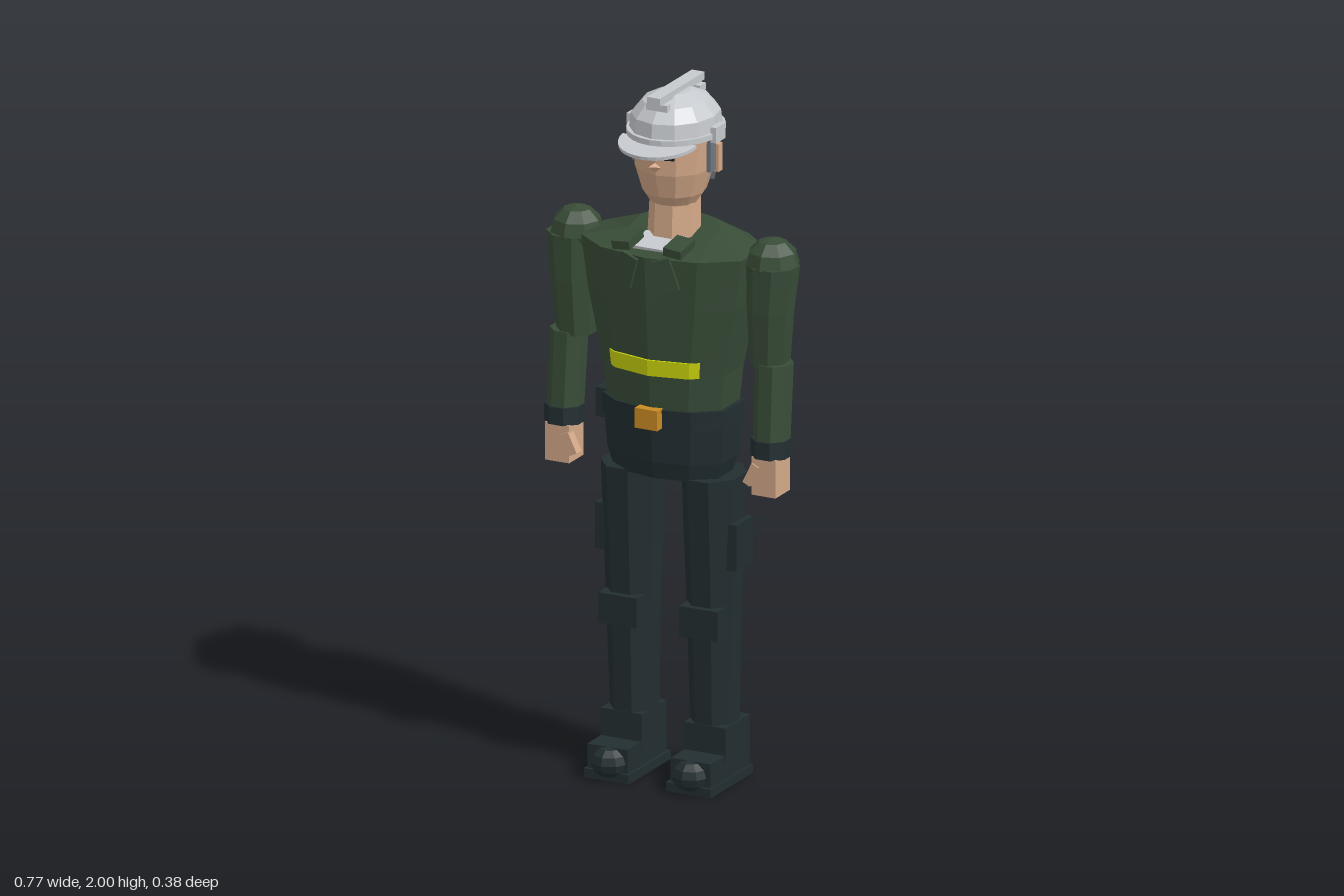
import * as THREE from 'three';

const mat = (name, color, flat = true) => {
  const m = new THREE.MeshStandardMaterial({ color, flatShading: flat });
  m.name = name;
  return m;
};

export function createModel() {
  const green = mat('jacket green', 0x384c37), dark = mat('trouser dark', 0x222e31);
  const skin = mat('skin', 0xd3a888), shell = mat('helmet grey', 0xc6c9cd);
  const hairGrey = mat('hair grey', 0x70777f), yellow = mat('stripe yellow', 0xcbd60c);
  const gold = mat('buckle gold', 0xc98a22), black = mat('black', 0x17191b);

  const model = new THREE.Group();
  model.name = 'uniformedFigure';
  const add = (name, geo, material, parent = model) => {
    const mesh = new THREE.Mesh(geo, material);
    mesh.name = name;
    parent.add(mesh);
    return mesh;
  };
  const box = (name, [w, h, d], [x, y, z], material, parent, rot = [0, 0, 0]) => {
    const mesh = add(name, new THREE.BoxGeometry(w, h, d), material, parent);
    mesh.position.set(x, y, z);
    mesh.rotation.set(...rot);
    return mesh;
  };

  // Capped solid through rings listed bottom to top, each running front -> +x -> back
  const loft = (rings) => {
    const pos = [], n = rings[0].length;
    const tri = (...pts) => pts.forEach((p) => pos.push(...p));
    for (let r = 0; r < rings.length - 1; r++) {
      for (let i = 0; i < n; i++) {
        const j = (i + 1) % n, lo = rings[r], hi = rings[r + 1];
        tri(lo[i], lo[j], hi[j]);
        tri(lo[i], hi[j], hi[i]);
      }
    }
    const bottom = rings[0], top = rings[rings.length - 1];
    const mid = (ring) => [0, 1, 2].map((k) => ring.reduce((s, p) => s + p[k], 0) / n);
    const mb = mid(bottom), mt = mid(top);
    for (let i = 0; i < n; i++) {
      const j = (i + 1) % n;
      tri(mb, bottom[j], bottom[i]);
      tri(mt, top[i], top[j]);
    }
    const geo = new THREE.BufferGeometry();
    geo.setAttribute('position', new THREE.Float32BufferAttribute(pos, 3));
    geo.computeVertexNormals();
    return geo;
  };
  const oval = (n, y, rx, rz, cx = 0, cz = 0, turn = 0) => Array.from({ length: n }, (_, i) => {
    const a = ((i + turn) / n) * Math.PI * 2;
    return [cx + rx * Math.sin(a), y, cz + rz * Math.cos(a)];
  });

  // Ten-sided body outline, scaled per height
  const half = [[0.15, 0.137], [0.25, 0.065], [0.25, -0.075], [0.16, -0.155]];
  const outline = [[0, 0.165], ...half, [0, -0.19], ...half.map(([x, z]) => [-x, z]).reverse()];
  const body = (y, sx, sz) => outline.map(([x, z]) => [x * sx, y, z * sz]);

  // Jacket, with a neckline that dips at the front
  const neckline = outline.map(([x, z]) => [x * 0.5, 1.585 - z * 0.13, -0.015 + z * 0.5]);
  add('jacket', loft([body(1.08, 0.71, 0.78), body(1.2, 0.76, 0.84), body(1.4, 0.92, 0.94),
    body(1.55, 1, 1), neckline]), green);

  // Reflective stripes lying on the front and back of the jacket
  const arc = (y, grow, pts) => pts.map(([x, z]) => [x * grow, y, z * grow]);
  const frontArc = [[-0.137, 0.1], [-0.115, 0.12], [0, 0.144], [0.115, 0.12], [0.137, 0.1]];
  const backArc = [[0.14, -0.124], [0.122, -0.136], [0, -0.165], [-0.122, -0.136], [-0.14, -0.124]];
  add('frontStripe', loft([arc(1.2, 1.005, frontArc), arc(1.247, 1.035, frontArc)]), yellow);
  add('backStripe', loft([arc(1.2, 1.005, backArc), arc(1.247, 1.03, backArc)]), yellow);

  // Hips, belt, buckle and hip pouch
  add('hips', loft([body(0.89, 0.65, 0.64), body(0.94, 0.71, 0.71), body(1.06, 0.75, 0.78)]), dark);
  add('belt', loft([body(1.045, 0.775, 0.8), body(1.1, 0.775, 0.82)]), dark);
  box('buckle', [0.07, 0.058, 0.035], [0, 1.076, 0.138], gold);
  box('beltPouch', [0.045, 0.085, 0.09], [-0.188, 1.065, 0.01], dark);

  // Shirt insert and collar flaps
  box('shirtInsert', [0.13, 0.012, 0.09], [0, 1.567, 0.075], shell, model, [0.2, 0, 0]);
  for (const s of [-1, 1]) {
    box('collarTop', [0.055, 0.025, 0.085], [s * 0.08, 1.577, 0.112], green, model, [0.15, 0, s * -0.1]);
    box('collarFlap', [0.055, 0.095, 0.015], [s * 0.06, 1.505, 0.153], green, model, [0.05, s * 0.19, s * 0.3]);
  }

  // Arms and legs, built for the left side and mirrored by sign
  for (const s of [-1, 1]) {
    const side = s > 0 ? 'left' : 'right';
    const arm = new THREE.Group();
    arm.name = side + 'Arm';
    const ball = add('shoulder', new THREE.SphereGeometry(0.078, 8, 6), green, arm);
    ball.position.set(s * 0.305, 1.527, -0.015);
    add('upperArm', loft([oval(8, 1.24, 0.056, 0.06, s * 0.301, -0.008, 0.5),
      oval(8, 1.4, 0.066, 0.065, s * 0.307, 0, 0.5), oval(8, 1.53, 0.076, 0.07, s * 0.312, -0.005, 0.5)]), green, arm);
    add('forearm', loft([oval(8, 1.02, 0.052, 0.052, s * 0.322, 0.022, 0.5),
      oval(8, 1.25, 0.054, 0.055, s * 0.32, 0.002, 0.5)]), green, arm);
    add('cuff', loft([oval(8, 0.985, 0.058, 0.058, s * 0.322, 0.024, 0.5),
      oval(8, 1.035, 0.058, 0.058, s * 0.322, 0.022, 0.5)]), dark, arm);
    box('hand', [0.075, 0.11, 0.085], [s * 0.322, 0.932, 0.028], skin, arm);
    box('thumb', [0.025, 0.065, 0.03], [s * 0.284, 0.935, 0.06], skin, arm, [0, 0, s * -0.45]);
    model.add(arm);

    const leg = new THREE.Group();
    leg.name = side + 'Leg';
    add('trouserLeg', loft([oval(8, 0.08, 0.066, 0.072, s * 0.125, -0.018, 0.5),
      oval(8, 0.48, 0.075, 0.08, s * 0.126, -0.01, 0.5), oval(8, 0.895, 0.087, 0.108, s * 0.126, -0.01, 0.5)]), dark, leg);
    box('kneePad', [0.12, 0.088, 0.055], [s * 0.126, 0.478, 0.058], dark, leg);
    box('thighPocket', [0.035, 0.135, 0.098], [s * 0.203, 0.698, -0.012], dark, leg);
    box('bootShaft', [0.13, 0.1, 0.145], [s * 0.13, 0.125, -0.018], dark, leg);
    box('bootFoot', [0.125, 0.075, 0.23], [s * 0.13, 0.058, 0.022], dark, leg);
    box('sole', [0.14, 0.026, 0.25], [s * 0.128, 0.013, 0.022], dark, leg);
    const toe = add('toeCap', new THREE.SphereGeometry(0.05, 8, 6), dark, leg);
    toe.scale.set(1.1, 0.9, 1);
    toe.position.set(s * 0.126, 0.052, 0.132);
    model.add(leg);
  }

  // Neck and head
  const head = new THREE.Group();
  head.name = 'head';
  model.add(head);
  add('neck', loft([oval(8, 1.54, 0.075, 0.075, 0, -0.01, 0.5), oval(8, 1.7, 0.07, 0.072, 0, -0.02, 0.5)]), skin, head);
  add('face', loft([oval(12, 1.67, 0.068, 0.065, 0, -0.01), oval(12, 1.7, 0.088, 0.092, 0, -0.014),
    oval(12, 1.77, 0.11, 0.117, 0, -0.018), oval(12, 1.885, 0.12, 0.125, 0, -0.02)]), skin, head);
  const nose = add('nose', new THREE.ConeGeometry(0.016, 0.05, 4), skin, head);
  nose.rotation.x = 1.85;
  nose.rotation.order = 'XYZ';
  nose.rotation.x = 1.3;
  nose.position.set(0, 1.8, 0.117);

  // Hair shell round the back of the head
  const hairRing = (y, rx, rz) => Array.from({ length: 7 }, (_, i) => {
    const a = ((108 + i * 24) / 180) * Math.PI;
    return [rx * Math.sin(a), y, -0.02 + rz * Math.cos(a)];
  });
  add('hair', loft([hairRing(1.73, 0.108, 0.113), hairRing(1.79, 0.121, 0.126), hairRing(1.885, 0.126, 0.131)]), hairGrey, head);

  for (const s of [-1, 1]) {
    box('eye', [0.028, 0.016, 0.008], [s * 0.04, 1.826, 0.092], black, head, [0, s * 0.27, 0]);
    box('sideburn', [0.012, 0.1, 0.035], [s * 0.116, 1.82, -0.012], hairGrey, head);
    box('ear', [0.016, 0.08, 0.024], [s * 0.118, 1.8, -0.048], skin, head);
    box('helmetClip', [0.018, 0.045, 0.055], [s * 0.131, 1.88, -0.022], shell, head);
  }

  // Helmet: dome, rim, crest with feet, and peak
  const helmet = new THREE.Group();
  helmet.name = 'helmet';
  model.add(helmet);
  add('dome', loft([oval(12, 1.87, 0.126, 0.147, 0, -0.022), oval(12, 1.925, 0.12, 0.14, 0, -0.022),
    oval(12, 1.962, 0.09, 0.107, 0, -0.022), oval(12, 1.985, 0.04, 0.05, 0, -0.022)]), shell, helmet);
  add('rim', loft([oval(24, 1.868, 0.132, 0.156, 0, -0.023), oval(24, 1.884, 0.132, 0.156, 0, -0.023)]), shell, helmet);
  box('crest', [0.04, 0.022, 0.265], [0, 1.989, -0.022], shell, helmet);
  box('crestFrontFoot', [0.066, 0.02, 0.022], [0, 1.966, 0.082], shell, helmet);
  box('crestBackFoot', [0.066, 0.02, 0.034], [0, 1.966, -0.12], shell, helmet);
  const peakShape = new THREE.Shape();
  peakShape.absellipse(0, 0, 0.115, 0.115, 0, Math.PI, false);
  peakShape.closePath();
  const peak = add('peak', new THREE.ExtrudeGeometry(peakShape, { depth: 0.01, bevelEnabled: false, curveSegments: 8 }), shell, helmet);
  peak.rotation.x = Math.PI / 2 + 0.14;
  peak.position.set(0, 1.869, 0.075);

  // Rear strap with its adjuster
  box('rearStrap', [0.12, 0.028, 0.02], [0, 1.83, -0.149], black, helmet);
  box('strapAdjuster', [0.034, 0.022, 0.012], [0, 1.83, -0.158], gold, helmet);
  return model;
}
